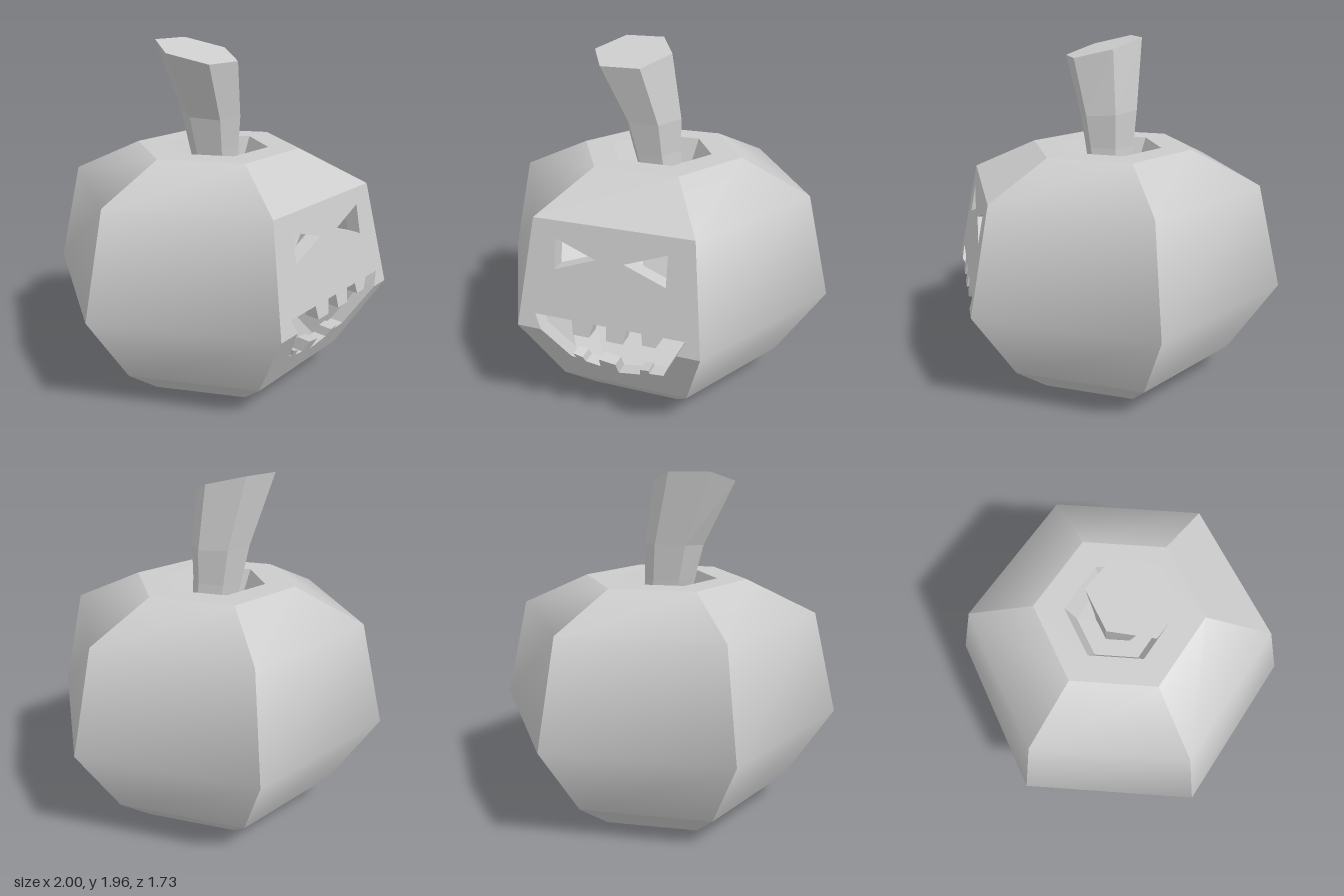
import * as THREE from 'three';

const SIDES = [0, 1, 2, 3, 4, 5];
const FRONT = 1; // side that faces +z
const APO = Math.cos(Math.PI / 6);
const WALL = 0.08;

const material = new THREE.MeshStandardMaterial({ color: 0xcccccc });

function addMesh(parent, geometry, name) {
  const mesh = new THREE.Mesh(geometry, material);
  mesh.name = name;
  parent.add(mesh);
}

// Six-sided surface from a [radius, y] profile; smooth along it, sharp between sides
function hexSurface(profile, sides = SIDES) {
  const pos = [], index = [];
  for (const s of sides) {
    const base = pos.length / 3;
    for (const [r, y] of profile) {
      for (const k of [s, s + 1]) {
        const a = (k * Math.PI) / 3;
        pos.push(r * Math.cos(a), y, r * Math.sin(a));
      }
    }
    for (let i = 0; i < profile.length - 1; i++) {
      const a = base + 2 * i, b = a + 1, c = a + 2, d = a + 3;
      index.push(b, a, c, b, c, d);
    }
  }
  const g = new THREE.BufferGeometry();
  g.setAttribute('position', new THREE.Float32BufferAttribute(pos, 3));
  g.setIndex(index);
  g.computeVertexNormals();
  return g;
}

// Distance of the front wall from the axis between the carved heights
function frontZ(y) {
  const r = y < 0.6
    ? THREE.MathUtils.mapLinear(y, 0.17, 0.6, 0.73, 1)
    : THREE.MathUtils.mapLinear(y, 0.6, 1.18, 1, 0.86);
  return r * APO;
}

// Thick wall panel cut from a flat outline and leaned onto the front of the body
function carvedPanel(outline, holes = []) {
  const toV = (list) => list.map(([x, y]) => new THREE.Vector2(x, y));
  const shape = new THREE.Shape(toV(outline));
  for (const h of holes) shape.holes.push(new THREE.Path(toV(h)));
  const g = new THREE.ExtrudeGeometry(shape, { depth: 1, bevelEnabled: false });
  const p = g.attributes.position;
  for (let i = 0; i < p.count; i++) {
    p.setZ(i, frontZ(p.getY(i)) - (p.getZ(i) > 0.5 ? 0 : WALL));
  }
  g.computeVertexNormals();
  return g;
}

// Six-sided stem swept through leaning rings
function stemGeometry() {
  // centre x, centre y, radius, tilt of the ring towards the front
  const rings = [[0, 1.22, 0.13, 0], [-0.025, 1.36, 0.145, 0], [-0.05, 1.55, 0.17, 0.08], [-0.163, 1.905, 0.228, 0.27]];
  const pos = [], index = [];
  for (const [cx, cy, r, tilt] of rings) {
    for (const k of SIDES) {
      const a = (k * Math.PI) / 3, z = r * Math.sin(a);
      pos.push(cx + r * Math.cos(a), cy - z * tilt, z);
    }
  }
  for (let i = 0; i < rings.length - 1; i++) {
    for (const k of SIDES) {
      const a = i * 6 + k, b = i * 6 + ((k + 1) % 6);
      index.push(b, a, a + 6, b, a + 6, b + 6);
    }
  }
  const top = (rings.length - 1) * 6;
  for (let k = 1; k < 5; k++) index.push(top, top + k + 1, top + k);
  const g = new THREE.BufferGeometry();
  g.setAttribute('position', new THREE.Float32BufferAttribute(pos, 3));
  g.setIndex(index);
  const flat = g.toNonIndexed();
  flat.computeVertexNormals();
  return flat;
}

export function createModel() {
  const model = new THREE.Group();
  model.name = 'carvedPumpkin';

  // Outer skin: five plain sides, plus the shoulder above the face
  const skin = [[0.73, 0.17], [1, 0.6], [0.86, 1.18], [0.47, 1.36]];
  addMesh(model, hexSurface(skin, SIDES.filter((s) => s !== FRONT)), 'skin');
  addMesh(model, hexSurface(skin.slice(2), [FRONT]), 'frontShoulder');
  addMesh(model, hexSurface([[0, 0], [0.52, 0]]), 'base');
  addMesh(model, hexSurface([[0.52, 0], [0.73, 0.17]]), 'lowerBevel');

  // Rim and sunken hollow around the stem
  addMesh(model, hexSurface([[0.47, 1.36], [0.3, 1.36]]), 'topRim');
  addMesh(model, hexSurface([[0.3, 1.36], [0.24, 1.22]]), 'stemHollowWall');
  addMesh(model, hexSurface([[0.24, 1.22], [0, 1.22]]), 'stemHollowFloor');

  // Hollow inside, listed from the ceiling down so that it faces inwards
  const inside = [[0, 1.2], [0.5, 1.2], [0.768, 1.18], [0.908, 0.6], [0.638, 0.17], [0.45, 0.08], [0, 0.08]];
  for (let i = 0; i < inside.length - 1; i++) {
    const carved = i === 2 || i === 3;
    const sides = SIDES.filter((s) => !(carved && s === FRONT));
    addMesh(model, hexSurface(inside.slice(i, i + 2), sides), 'insideWall');
  }

  // Face: the mouth is shared by the upper and lower front panels
  const eye = [[-0.3, 1.09], [-0.3, 0.93], [-0.075, 1.01]];
  const upperLip = [
    [-0.365, 0.6], [-0.4, 0.68], [-0.19, 0.68], [-0.18, 0.605], [-0.09, 0.605], [-0.07, 0.68],
    [0, 0.68], [0.005, 0.605], [0.095, 0.605], [0.11, 0.68], [0.19, 0.68], [0.2, 0.62],
    [0.27, 0.62], [0.305, 0.68], [0.42, 0.68], [0.38, 0.6],
  ];
  const lowerLip = [
    [0.38, 0.6], [0.27, 0.37], [0.19, 0.36], [0.19, 0.39], [0.14, 0.38], [0.13, 0.33],
    [0, 0.3], [0, 0.38], [-0.09, 0.4], [-0.1, 0.33], [-0.18, 0.35], [-0.19, 0.39],
    [-0.24, 0.41], [-0.23, 0.37], [-0.26, 0.38], [-0.365, 0.6],
  ];
  const upper = [[-0.5, 0.6], ...upperLip, [0.5, 0.6], [0.43, 1.18], [-0.43, 1.18]];
  const lower = [[-0.365, 0.17], [0.365, 0.17], [0.5, 0.6], ...lowerLip, [-0.5, 0.6]];
  const eyes = [eye, eye.map(([x, y]) => [-x, y])];
  addMesh(model, carvedPanel(upper, eyes), 'upperFace');
  addMesh(model, carvedPanel(lower), 'lowerFace');

  addMesh(model, stemGeometry(), 'stem');
  return model;
}
